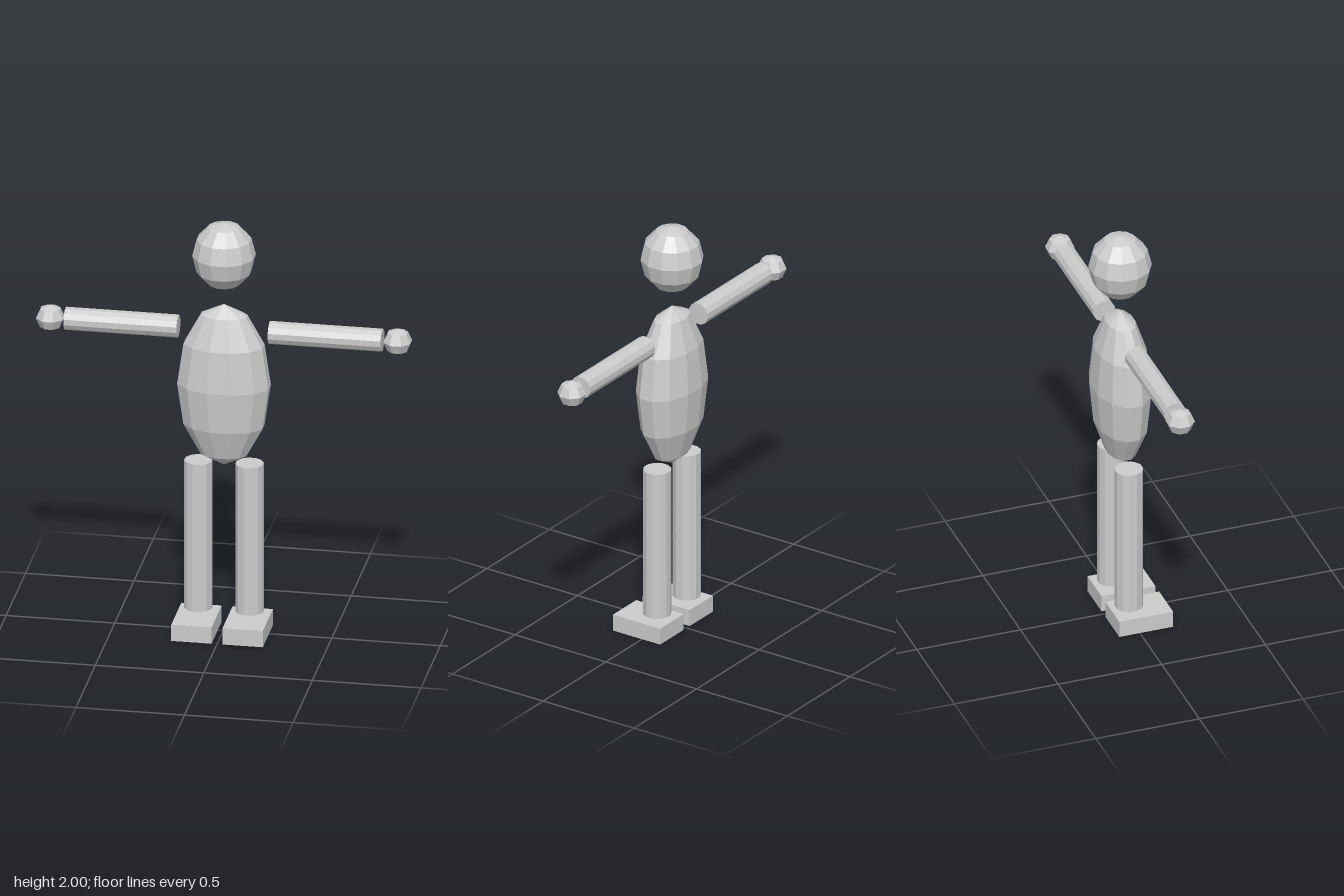
import * as THREE from 'three';

const material = new THREE.MeshStandardMaterial({ color: 0xcccccc, flatShading: true });
const BODY_Z = -0.02;

export function createModel() {
  const model = new THREE.Group();
  model.name = 'figure';

  const add = (name, geometry, x, y, z = BODY_Z) => {
    const mesh = new THREE.Mesh(geometry, material);
    mesh.name = name;
    mesh.position.set(x, y, z);
    model.add(mesh);
  };

  // Faceted ellipsoid with flat faces toward the main axes; rx, ry, rz are half extents
  const ellipsoid = (rx, ry, rz, sides, rings) => {
    const k = 1 / Math.cos(Math.PI / sides);
    return new THREE.SphereGeometry(1, sides, rings)
      .rotateY(Math.PI / sides)
      .scale(rx * k, ry, rz * k);
  };

  // Straight limb, upright by default
  const limb = (radius, length) =>
    new THREE.CylinderGeometry(radius, radius, length, 12).rotateY(Math.PI / 12);

  add('head', ellipsoid(0.14, 0.16, 0.14, 12, 6), 0, 1.84);
  add('torso', ellipsoid(0.21, 0.395, 0.128, 12, 6), 0, 1.205);

  // Mirrored limbs
  for (const [side, s] of [['left', 1], ['right', -1]]) {
    add(side + 'Arm', limb(0.053, 0.52).rotateZ(Math.PI / 2), s * 0.47, 1.475);
    add(side + 'Hand', ellipsoid(0.062, 0.062, 0.062, 8, 4), s * 0.8, 1.475);
    add(side + 'Leg', limb(0.065, 0.725), s * 0.118, 0.4625);
    add(side + 'Foot', new THREE.BoxGeometry(0.186, 0.08, 0.26), s * 0.118, 0.04, 0.03);
  }

  return model;
}
